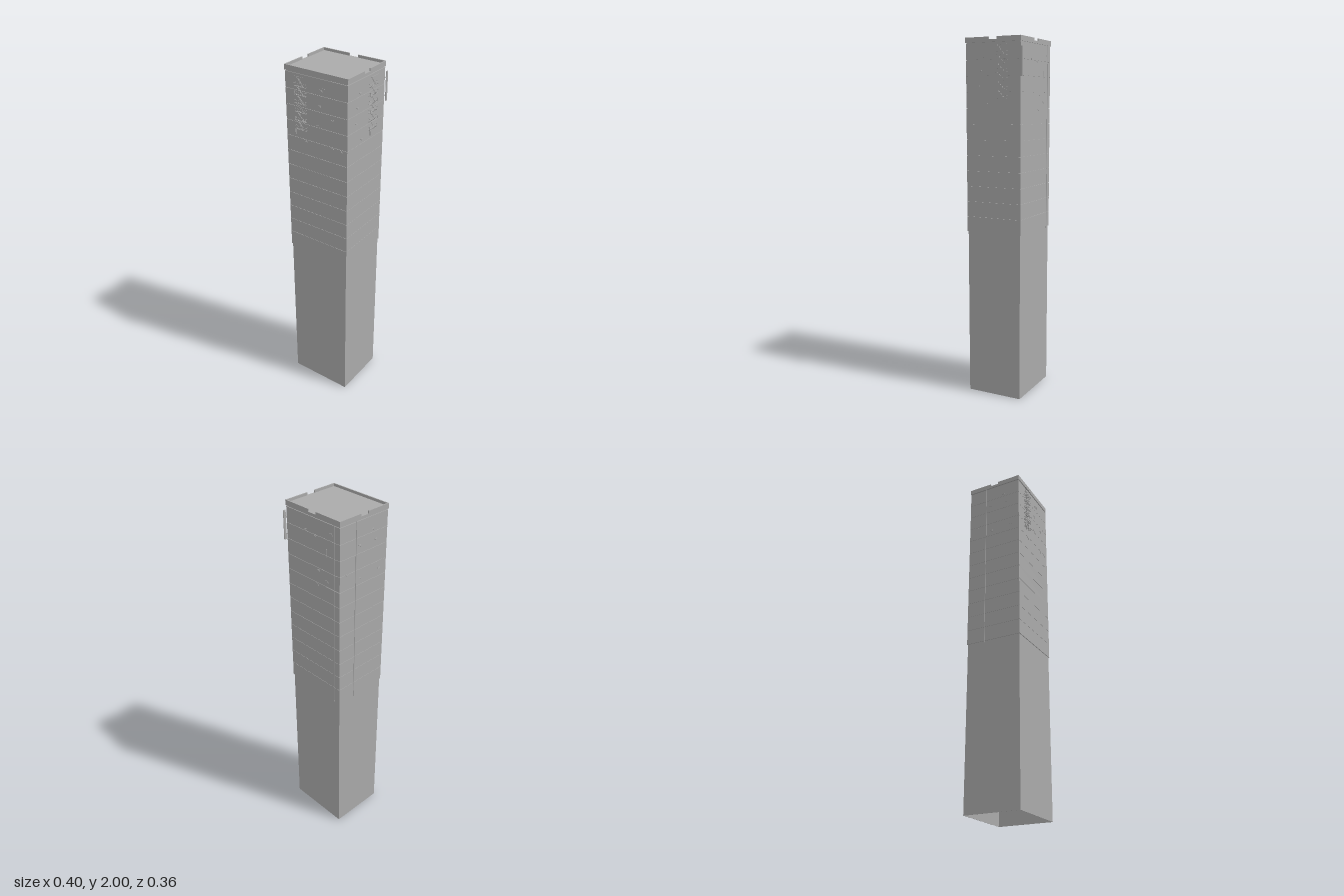
import * as THREE from 'three';

const CX = -0.006; // tower centre in x

export function createModel() {
  const concrete = new THREE.MeshStandardMaterial({ color: 0xaaaaaa });
  concrete.name = 'concrete grey';
  const model = new THREE.Group();
  model.name = 'tower';

  const box = (parent, name, w, h, d, x, y, z) => {
    const mesh = new THREE.Mesh(new THREE.BoxGeometry(w, h, d), concrete);
    mesh.name = name;
    mesh.position.set(x, y, z);
    parent.add(mesh);
    return mesh;
  };

  // Hollow rectangular storey with half sizes hx, hz and wall thickness t
  const ring = (name, hx, hz, t, y0, y1) => {
    const rect = (P, a, b) => {
      const p = new P();
      p.moveTo(-a, -b); p.lineTo(a, -b); p.lineTo(a, b); p.lineTo(-a, b); p.closePath();
      return p;
    };
    const shape = rect(THREE.Shape, hx, hz);
    shape.holes.push(rect(THREE.Path, hx - t, hz - t));
    const geo = new THREE.ExtrudeGeometry(shape, { depth: y1 - y0, bevelEnabled: false });
    geo.rotateX(-Math.PI / 2);
    const mesh = new THREE.Mesh(geo, concrete);
    mesh.name = name;
    mesh.position.set(CX, y0, 0);
    model.add(mesh);
  };

  // Shaft, open at the bottom, with the wider upper floors in thin bands
  ring('shaft', 0.186, 0.161, 0.002, 0, 1.974);
  const floors = 12, first = 0.942, step = 0.0855;
  for (let i = 0; i < floors; i++) {
    const y = first + i * step;
    ring('upperFloor', 0.19, 0.165, 0.005, y, y + step - 0.0015);
  }

  // Roof slab and cornice
  box(model, 'roof', 0.386, 0.014, 0.334, CX, 1.979, 0);

  // Parapet: unbroken at the front, with a gap on the other sides
  const t = 0.006, py = 1.993, ph = 0.014;
  box(model, 'frontParapet', 0.386, ph, t, CX, py, 0.164);
  for (const s of [-1, 1]) {
    box(model, 'backParapet', 0.167, ph, t, CX + s * 0.1095, py, -0.164);
    for (const e of [-1, 1]) {
      box(model, 'sideParapet', t, ph, 0.136, CX + s * 0.19, py, e * 0.093);
    }
  }

  // One group per wall: local x runs along the wall, local z points outwards
  const wall = (name, angle) => {
    const g = new THREE.Group();
    g.name = name;
    g.position.x = CX;
    g.rotation.y = angle;
    model.add(g);
    return g;
  };
  const front = wall('frontWallDetails', 0);
  const right = wall('rightWallDetails', Math.PI / 2);
  const back = wall('backWallDetails', Math.PI);
  const left = wall('leftWallDetails', -Math.PI / 2);

  // Fire escape: slatted landings, railings, sloping stairs and a drop ladder
  const fireEscape = (parent, cx, z) => {
    const g = new THREE.Group();
    g.name = 'fireEscape';
    g.position.set(cx, 0, z);
    parent.add(g);
    const levels = [1.677, 1.723, 1.77, 1.815, 1.86, 1.905];
    const bar = 0.0015, depth = 0.011, half = 0.034;
    levels.forEach((y, i) => {
      for (const d of [0, depth]) {
        box(g, 'landingEdge', 2 * half, 0.003, bar, 0, y, d);
      }
      for (let k = 0; k <= 9; k++) {
        box(g, 'landingSlat', bar, bar, depth, -half + (k * 2 * half) / 9, y, depth / 2);
      }
      box(g, 'handrail', 2 * half, bar, bar, 0, y + 0.017, depth);
      for (const s of [-1, 1]) {
        box(g, 'railPost', bar, 0.018, bar, s * half, y + 0.009, depth);
        box(g, 'endRail', bar, bar, depth, s * half, y + 0.017, depth / 2);
      }
      const rise = (levels[i + 1] ?? 1.955) - y, run = 0.042;
      for (const d of [0.003, 0.008]) {
        const stair = box(g, 'stairStringer', Math.hypot(rise, run), 0.002, bar, 0, y + rise / 2, d);
        stair.rotation.z = -Math.atan2(rise, run);
      }
    });
    box(g, 'topRail', 2 * half, bar, bar, 0, 1.957, depth);
    for (const x of [-0.033, -0.027]) {
      box(g, 'dropLadder', bar, 0.03, bar, x, 1.664, depth);
    }
  };
  fireEscape(front, -0.0965 - CX, 0.167);
  fireEscape(right, 0.052, 0.191);

  // Exposed bricks scattered over the upper walls
  const bricks = (parent, z, spots) => spots.forEach(([x, y]) => {
    box(parent, 'exposedBrick', 0.016, 0.005, 0.004, x, y, z);
    box(parent, 'exposedBrick', 0.009, 0.005, 0.004, x + 0.006, y - 0.006, z);
  });
  bricks(front, 0.1655, [[0.05, 1.92], [0.03, 1.91], [0.1, 1.62], [0.15, 1.62],
    [-0.07, 1.62], [0.01, 1.72], [0.1, 1.77], [0.02, 1.83]]);
  bricks(right, 0.1905, [[-0.06, 1.9], [-0.09, 1.75], [-0.04, 1.65], [-0.08, 1.83]]);
  bricks(back, 0.1655, [[-0.05, 1.89], [0.01, 1.88], [0.13, 1.92], [0.04, 1.7],
    [0.1, 1.66], [0.03, 1.62]]);
  bricks(left, 0.1905, [[-0.03, 1.84], [0.08, 1.84], [0.11, 1.67], [-0.12, 1.71],
    [-0.02, 1.66], [0.06, 1.9]]);

  // Drainpipes and a short vent pipe
  const pipe = (parent, name, x, z, y0, y1) => {
    const mesh = new THREE.Mesh(new THREE.CylinderGeometry(0.002, 0.002, y1 - y0, 8), concrete);
    mesh.name = name;
    mesh.position.set(x, (y0 + y1) / 2, z);
    parent.add(mesh);
  };
  pipe(back, 'drainpipe', 0.152, 0.166, 0.93, 1.973);
  pipe(left, 'drainpipe', -0.055, 0.191, 0.93, 1.973);
  pipe(back, 'ventPipe', 0.1, 0.166, 1.79, 1.83);

  // Upright oval sign on the back corner, held by two brackets
  const signGeo = new THREE.CylinderGeometry(1, 1, 0.155, 16);
  signGeo.scale(0.0035, 1, 0.0085);
  const sign = new THREE.Mesh(signGeo, concrete);
  sign.name = 'cornerSign';
  sign.position.set(0.1915, 1.868, -0.1725);
  model.add(sign);
  for (const y of [1.82, 1.915]) {
    box(model, 'signBracket', 0.012, 0.003, 0.004, 0.187, y, -0.1655);
  }

  return model;
}
